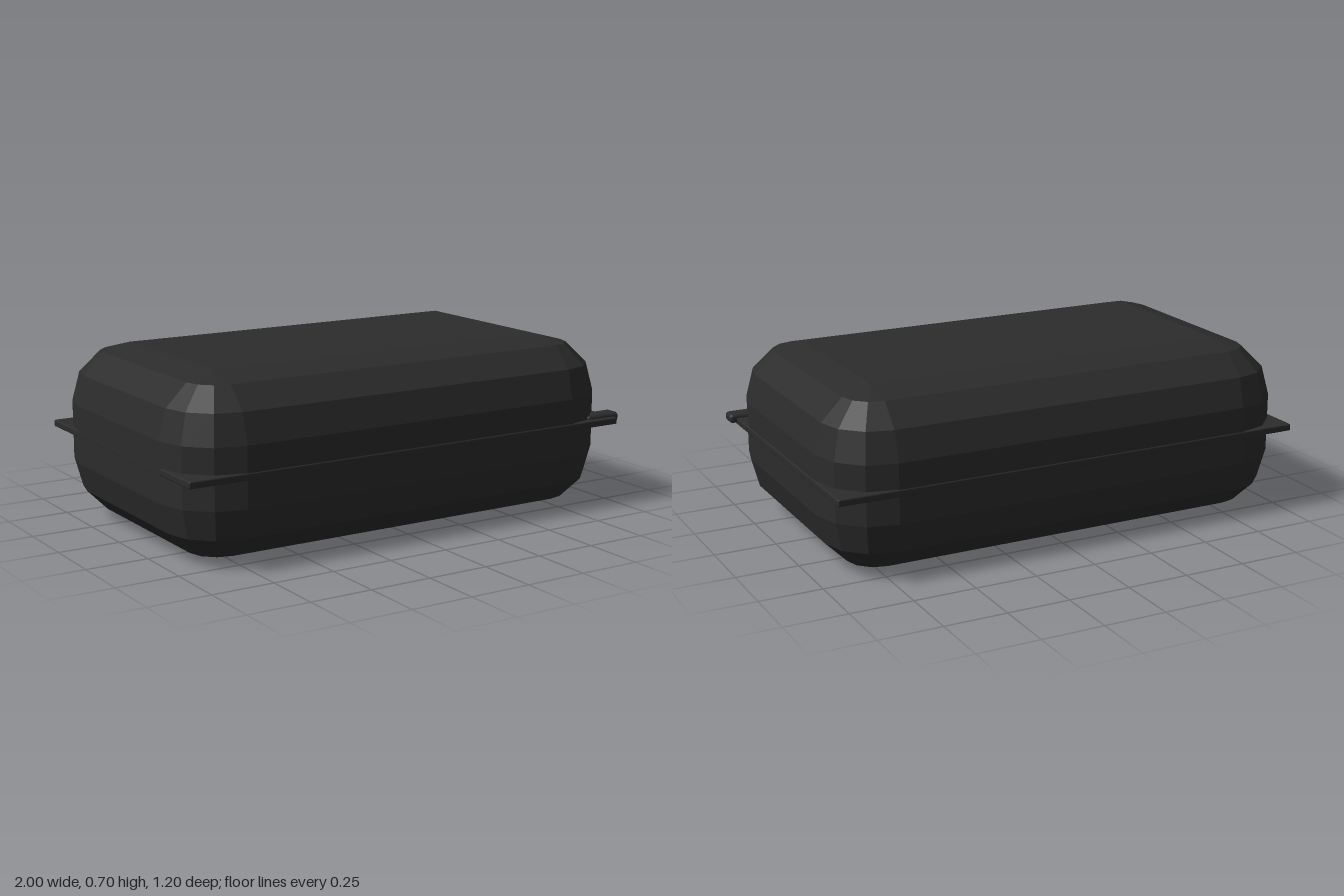
import * as THREE from 'three';
import { RoundedBoxGeometry } from 'three/addons/geometries/RoundedBoxGeometry.js';

const STEPS = 3; // facets per rounded quarter

// Faceted box with rounded edges, lofted from rounded-rectangle rings stacked along y
function facetedCase(w, h, d, r) {
  const ring = 4 * (STEPS + 1);
  const points = [];
  const index = [];
  const rows = 2 * (STEPS + 1);
  for (let j = 0; j < rows; j++) {
    const upper = j > STEPS;
    const lat = ((j - (upper ? STEPS + 1 : STEPS)) / STEPS) * Math.PI / 2;
    const y = (upper ? h - r : r) + r * Math.sin(lat);
    const rr = r * Math.cos(lat);
    for (let c = 0; c < 4; c++) {
      const cx = (c === 0 || c === 3 ? 1 : -1) * (w / 2 - r);
      const cz = (c < 2 ? 1 : -1) * (d / 2 - r);
      for (let s = 0; s <= STEPS; s++) {
        const a = (c + s / STEPS) * Math.PI / 2;
        points.push(cx + rr * Math.cos(a), y, cz + rr * Math.sin(a));
      }
    }
  }
  // side bands
  for (let j = 0; j < rows - 1; j++) {
    for (let i = 0; i < ring; i++) {
      const k = (i + 1) % ring;
      const a = j * ring + i, b = j * ring + k;
      index.push(a, a + ring, b, b, a + ring, b + ring);
    }
  }
  // flat bottom and top, one corner point from each rounded corner
  const n = STEPS + 1;
  const t = (rows - 1) * ring;
  index.push(0, n, 2 * n, 0, 2 * n, 3 * n);
  index.push(t, t + 2 * n, t + n, t, t + 3 * n, t + 2 * n);

  const indexed = new THREE.BufferGeometry();
  indexed.setAttribute('position', new THREE.Float32BufferAttribute(points, 3));
  indexed.setIndex(index);
  const geo = indexed.toNonIndexed();
  geo.computeVertexNormals();
  return geo;
}

export function createModel() {
  const model = new THREE.Group();
  model.name = 'hardCase';

  const charcoal = new THREE.MeshStandardMaterial({ color: 0x2c2c2c });
  charcoal.name = 'charcoal';

  const add = (name, geometry, x, y, z) => {
    const mesh = new THREE.Mesh(geometry, charcoal);
    mesh.name = name;
    mesh.position.set(x, y, z);
    model.add(mesh);
  };

  // Rounded case body
  add('shell', facetedCase(1.965, 0.705, 1.19, 0.235), -0.017, 0, 0);

  // Square-cornered rim where the two halves meet
  add('seamRim', new RoundedBoxGeometry(1.97, 0.028, 1.196, 2, 0.006), -0.015, 0.356, 0);

  // Small pull tab at the front left corner
  add('pullTab', new RoundedBoxGeometry(0.165, 0.038, 0.07, 3, 0.015), 0.916, 0.367, 0.54);

  return model;
}
